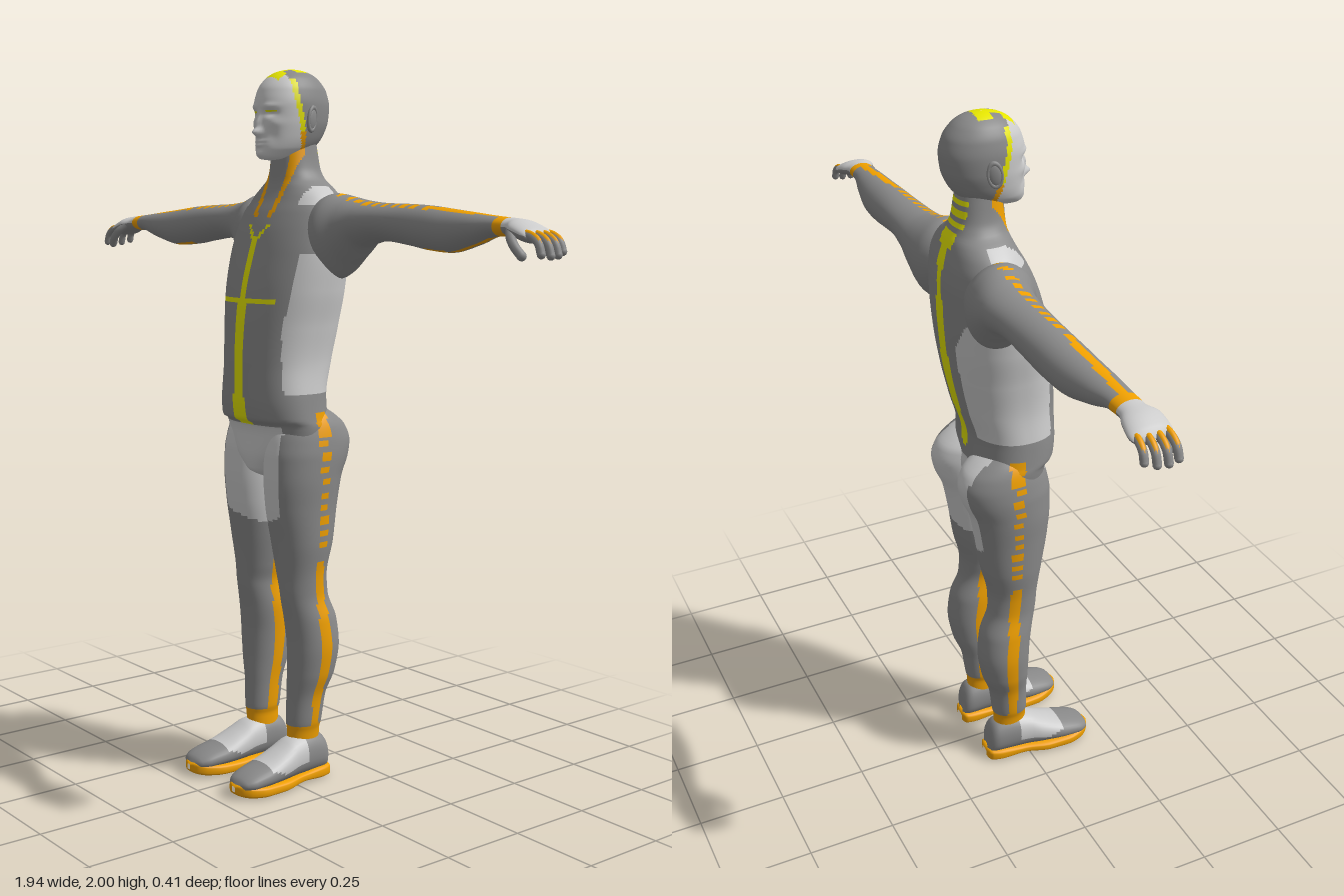
import * as THREE from 'three';

const mat = (color) => new THREE.MeshStandardMaterial({ color });
const MATS = { light: mat(0xcccccc), dark: mat(0x8a8a8a), orange: mat(0xf0a000), yellow: mat(0xe6e600) };
for (const k in MATS) MATS[k].name = k;

// Monotone smooth interpolation of key rows [t, a, b, c, d]
function sample(keys, t) {
  let i = 0;
  while (i < keys.length - 2 && t > keys[i + 1][0]) i++;
  const h = keys[i + 1][0] - keys[i][0], s = (t - keys[i][0]) / h;
  const d = (j, c) => (keys[j + 1][c] - keys[j][c]) / (keys[j + 1][0] - keys[j][0]);
  const slope = (j, c) => {
    if (j === 0) return d(0, c);
    if (j === keys.length - 1) return d(j - 1, c);
    const p = d(j - 1, c), q = d(j, c);
    return p * q <= 0 ? 0 : (2 * p * q) / (p + q);
  };
  return [1, 2, 3, 4].map((c) => {
    const a = keys[i][c], b = keys[i + 1][c], s2 = s * s, s3 = s2 * s;
    return a * (2 * s3 - 3 * s2 + 1) + b * (3 * s2 - 2 * s3)
      + h * ((s3 - 2 * s2 + s) * slope(i, c) + (s3 - s2) * slope(i + 1, c));
  });
}

// Loft of superellipse rings; keys are [t, uMin, uMax, vMin, vMax].
// paint() picks the colour of every cell; each colour becomes one mesh.
const AXES = { x: ['x', 'z', 'y'], y: ['y', 'x', 'z'], z: ['z', 'y', 'x'] };
function loft(name, { axis, keys, rows, cols, e = 2, side = 1, ease = false, warp, paint }) {
  const [T, U, V] = AXES[axis], pts = [], pos = [], all = [], faces = {};
  const t0 = keys[0][0], t1 = keys[keys.length - 1][0];
  const pw = (c) => Math.sign(c) * Math.abs(c) ** (2 / e);
  for (let i = 0; i <= rows; i++) {
    const f = i / rows, t = t0 + (t1 - t0) * (ease ? (1 - Math.cos(Math.PI * f)) / 2 : f);
    const [u0, u1, v0, v1] = sample(keys, t);
    for (let j = 0; j < cols; j++) {
      const a = (j / cols) * Math.PI * 2, p = new THREE.Vector3();
      p[T] = t;
      p[U] = (u0 + u1) / 2 + ((u1 - u0) / 2) * pw(Math.cos(a));
      p[V] = (v0 + v1) / 2 + ((v1 - v0) / 2) * pw(Math.sin(a));
      if (warp) warp(p);
      pts.push(p);
      pos.push(p.x * side, p.y, p.z);
    }
  }
  for (let i = 0; i < rows; i++) for (let j = 0; j < cols; j++) {
    const k = (j + 1) % cols, a = i * cols + j, b = a + cols, c = i * cols + k, d = c + cols;
    const quad = side > 0 ? [a, b, c, c, b, d] : [a, c, b, c, d, b];
    const mid = pts[a].clone().add(pts[d]).multiplyScalar(0.5);
    const color = paint(mid, ((j + 0.5) / cols) * Math.PI * 2);
    (faces[color] ??= []).push(...quad);
    for (const q of quad) all.push(q);
  }
  const base = new THREE.BufferGeometry();
  base.setAttribute('position', new THREE.Float32BufferAttribute(pos, 3));
  base.setIndex(all);
  base.computeVertexNormals();
  const group = new THREE.Group();
  group.name = name;
  for (const color in faces) {
    const g = new THREE.BufferGeometry();
    g.setAttribute('position', base.attributes.position);
    g.setAttribute('normal', base.attributes.normal);
    g.setIndex(faces[color]);
    const m = new THREE.Mesh(g, MATS[color]);
    m.name = `${name} ${color}`;
    group.add(m);
  }
  return group;
}

const sym = (rows) => rows.map(([t, w, f, b]) => [t, -w, w, b, f]);
const within = (v, a, b) => v > a && v < b;
const dash = (v) => Math.floor(v / 0.018) % 2 === 0;

// Torso and neck
const TORSO = sym([[0.86, 0.02, -0.02, -0.09], [0.9, 0.06, 0.062, -0.12], [0.95, 0.13, 0.072, -0.14],
  [1, 0.172, 0.07, -0.145], [1.03, 0.174, 0.075, -0.14], [1.045, 0.172, 0.098, -0.14], [1.1, 0.166, 0.105, -0.14],
  [1.2, 0.157, 0.105, -0.165], [1.3, 0.166, 0.1, -0.187], [1.4, 0.182, 0.086, -0.2], [1.5, 0.19, 0.06, -0.205],
  [1.56, 0.185, 0.04, -0.205], [1.61, 0.175, 0.017, -0.2], [1.65, 0.15, -0.005, -0.19], [1.68, 0.115, -0.018, -0.18],
  [1.7, 0.085, -0.023, -0.17], [1.73, 0.068, -0.025, -0.16], [1.78, 0.06, -0.028, -0.152], [1.83, 0.055, -0.04, -0.14]]);
function paintTorso({ x, y, z }) {
  const ax = Math.abs(x), front = z > -0.05;
  if (y < 1.03) return ax < 0.125 ? 'light' : 'dark';
  if (y < 1.07 && ax > 0.1 && within(z, -0.078, -0.035)) return 'orange';
  if (front) {
    if (y < 1.54 && ax < 0.011 + (1.54 - y) * 0.03) return 'yellow';
    if (within(y, 1.53, 1.58) && Math.abs(ax - (y - 1.53) * 0.9) < 0.007) return 'yellow';
    if (Math.abs(y - 1.37) < 0.005 && ax < 0.115) return 'yellow';
  } else if (z < -0.11) {
    if (within(y, 1.06, 1.66) && ax < 0.014 + 0.012 * Math.abs(Math.sin(y * 6))) return 'yellow';
    if (within(y, 1.66, 1.7) && ax < 0.036) return 'yellow';
    if (within(y, 1.7, 1.82) && (y - 1.7) % 0.028 > 0.014 && ax < 0.045) return 'yellow';
  }
  if (within(y, 1.6, 1.82) && z > -0.08 && Math.abs(ax - 0.035 - (y - 1.62) * 0.12) < 0.009) return 'orange';
  if (within(y, 1.63, 1.69) && within(ax, 0.11, 0.165) && z > -0.12) return 'light';
  if (within(y, 1.12, 1.5) && ax > 0.07 + Math.max(0, y - 1.4) * 0.6 && z < 0.055 - Math.max(0, y - 1.3) * 0.2) return 'light';
  return 'dark';
}

// Head with sculpted face
const HEAD = sym([[1.752, 0.002, 0.005, -0.01], [1.756, 0.026, 0.024, -0.04], [1.766, 0.043, 0.031, -0.09],
  [1.785, 0.061, 0.033, -0.14], [1.82, 0.075, 0.032, -0.172], [1.86, 0.083, 0.031, -0.188], [1.9, 0.085, 0.032, -0.192],
  [1.94, 0.079, 0.022, -0.182], [1.97, 0.064, 0.001, -0.16], [1.988, 0.043, -0.025, -0.135], [1.997, 0.02, -0.055, -0.105],
  [2, 0.001, -0.079, -0.081]]);
const FACE = [[0, 1.826, 0.012, 0.011, 0.023], [0, 1.852, 0.009, 0.02, 0.013], [0.034, 1.876, 0.016, 0.009, -0.011],
  [0.034, 1.896, 0.022, 0.007, 0.005], [0, 1.803, 0.019, 0.004, 0.006], [0, 1.792, 0.017, 0.005, 0.006],
  [0, 1.768, 0.018, 0.01, 0.006], [0.048, 1.85, 0.016, 0.012, 0.004], [0.04, 1.815, 0.014, 0.02, -0.004]];
function sculptFace(p) {
  if (p.z < -0.05) return;
  for (const [cx, cy, sx, sy, amp] of FACE) {
    p.z += amp * Math.exp(-(((Math.abs(p.x) - cx) / sx) ** 2) - ((p.y - cy) / sy) ** 2);
  }
}
function paintHead({ x, y, z }) {
  const ax = Math.abs(x);
  if (y > 1.96 && ((within(z, -0.105, -0.065) && ax < 0.04) || (within(z, -0.07, -0.03) && ax < 0.016)
    || (within(z, -0.035, -0.005) && ax < 0.036))) return 'yellow';
  if (z > 0 && within(ax, 0.019, 0.05) && Math.abs(y - 1.884) < 0.003) return 'yellow';
  const edge = -0.03 - Math.max(0, 1.92 - y) * 0.25;
  if (z > edge) return 'light';
  return z > edge - 0.016 && y < 1.97 ? (y > 1.83 ? 'yellow' : 'orange') : 'dark';
}

// Leg
const LEG = [[0.1, 0.06, 0.13, -0.1, 0], [0.15, 0.06, 0.135, -0.1, 0], [0.17, 0.054, 0.141, -0.104, 0.002],
  [0.25, 0.05, 0.15, -0.115, 0], [0.32, 0.045, 0.168, -0.14, 0], [0.4, 0.042, 0.176, -0.152, 0.002],
  [0.47, 0.04, 0.172, -0.145, 0.01], [0.55, 0.045, 0.16, -0.118, 0.025], [0.6, 0.035, 0.162, -0.115, 0.03],
  [0.7, 0.016, 0.175, -0.135, 0.045], [0.8, 0.006, 0.18, -0.15, 0.062], [0.88, 0.002, 0.185, -0.165, 0.068],
  [0.94, 0, 0.186, -0.19, 0.068], [0.98, 0, 0.183, -0.197, 0.062], [1.02, 0, 0.176, -0.183, 0.05],
  [1.05, 0.01, 0.165, -0.15, 0.03], [1.08, 0.04, 0.14, -0.1, -0.02]];
function paintLeg({ x, y, z }, a) {
  if (y < 0.165) return 'orange';
  const outer = Math.cos(a) > 0, mid = -0.058 - 0.016 * Math.exp(-(((y - 0.4) / 0.12) ** 2));
  const off = Math.abs(z - mid);
  if (outer && y < 0.65 && off < 0.014 + 0.006 * Math.exp(-(((y - 0.4) / 0.12) ** 2))) return 'orange';
  if (outer && within(y, 0.67, 0.99) && off < 0.016 && dash(y)) return 'orange';
  if (outer && y > 1 && off < 0.02) return 'orange';
  if (!outer && y < 0.72 && off < 0.018) return 'orange';
  return y > 0.73 + x * 0.4 && x < 0.125 ? 'light' : 'dark';
}

// Arm and palm
const ARM = [[0.1, -0.18, -0.02, 1.48, 1.63], [0.17, -0.205, -0.01, 1.43, 1.662], [0.22, -0.208, -0.035, 1.475, 1.652],
  [0.27, -0.205, -0.053, 1.52, 1.642], [0.35, -0.197, -0.062, 1.535, 1.635], [0.45, -0.192, -0.065, 1.525, 1.632],
  [0.52, -0.188, -0.063, 1.515, 1.628], [0.6, -0.18, -0.06, 1.51, 1.62], [0.7, -0.16, -0.062, 1.53, 1.61],
  [0.78, -0.142, -0.068, 1.553, 1.602], [0.83, -0.14, -0.068, 1.555, 1.598], [0.86, -0.15, -0.05, 1.548, 1.595],
  [0.9, -0.155, -0.047, 1.538, 1.58], [0.917, -0.148, -0.055, 1.54, 1.568], [0.922, -0.12, -0.09, 1.548, 1.556]];
function paintArm({ x, z }, a) {
  const top = Math.sin(a) > 0, off = Math.abs(z + 0.105);
  if (x > 0.82) return top ? 'light' : 'dark';
  if (x > 0.785) return 'orange';
  if (x > 0.52 && off < (top ? 0.013 : 0.008)) return 'orange';
  return top && within(x, 0.15, 0.5) && off < 0.014 && dash(x) ? 'orange' : 'dark';
}

// Shoe upper and sole
const UPPER = [[-0.127, 0.03, 0.05, 0.09, 0.11], [-0.12, 0.02, 0.1, 0.07, 0.135], [-0.1, 0.02, 0.128, 0.06, 0.146],
  [-0.05, 0.02, 0.138, 0.055, 0.15], [0, 0.02, 0.132, 0.05, 0.153], [0.04, 0.02, 0.112, 0.045, 0.158],
  [0.1, 0.02, 0.085, 0.04, 0.16], [0.16, 0.02, 0.068, 0.045, 0.155], [0.19, 0.025, 0.054, 0.06, 0.138], [0.2, 0.03, 0.04, 0.085, 0.11]];
const SOLE = [[-0.132, 0.008, 0.028, 0.085, 0.115], [-0.125, 0, 0.036, 0.065, 0.138], [-0.09, 0, 0.036, 0.056, 0.148],
  [-0.02, 0.006, 0.032, 0.052, 0.15], [0.06, 0, 0.032, 0.037, 0.164], [0.12, 0, 0.034, 0.035, 0.164],
  [0.17, 0.003, 0.038, 0.048, 0.15], [0.197, 0.01, 0.042, 0.068, 0.126], [0.206, 0.02, 0.036, 0.09, 0.105]];
const toeOut = (p) => { p.x += p.z * 0.06; };
const paintShoe = ({ y, z }) => (y > 0.05 && within(z, -0.03, 0.11) && y > 0.05 + Math.abs(z - 0.04) * 0.25 ? 'light' : 'dark');

function addMesh(group, name, geometry, color, position) {
  const m = new THREE.Mesh(geometry, MATS[color]);
  m.name = name;
  if (position) m.position.copy(position);
  group.add(m);
  return m;
}

// Curled finger with a round tip and a strip along the top
function finger(name, side, path, r, strip) {
  const g = new THREE.Group();
  g.name = name;
  const curve = (dy) => new THREE.CatmullRomCurve3(path.map(([x, y, z]) => new THREE.Vector3(x * side, y + dy, z)));
  addMesh(g, 'digit', new THREE.TubeGeometry(curve(0), 12, r, 10), 'dark');
  addMesh(g, 'fingertip', new THREE.SphereGeometry(r, 10, 8), 'dark', curve(0).getPoint(1));
  if (strip) addMesh(g, 'finger strip', new THREE.TubeGeometry(curve(r * 0.5), 12, r * 0.72, 8), 'orange');
  return g;
}

export function createModel() {
  const model = new THREE.Group();
  model.name = 'figure';
  model.add(loft('torso', { axis: 'y', keys: TORSO, rows: 150, cols: 144, e: 2.3, paint: paintTorso }));
  model.add(loft('head', { axis: 'y', keys: HEAD, rows: 88, cols: 112, e: 2.1, ease: true, warp: sculptFace, paint: paintHead }));
  for (const side of [1, -1]) {
    const s = side > 0 ? 'left' : 'right';
    model.add(loft(`${s} leg`, { axis: 'y', keys: LEG, rows: 120, cols: 56, side, e: 2.1, paint: paintLeg }));
    model.add(loft(`${s} arm`, { axis: 'x', keys: ARM, rows: 110, cols: 40, side, paint: paintArm }));
    model.add(loft(`${s} shoe`, { axis: 'z', keys: UPPER, rows: 36, cols: 32, side, e: 2.3, ease: true, warp: toeOut, paint: paintShoe }));
    model.add(loft(`${s} sole`, { axis: 'z', keys: SOLE, rows: 30, cols: 32, side, e: 4, ease: true, warp: toeOut, paint: () => 'orange' }));

    // Fingers and thumb
    [-0.064, -0.089, -0.114, -0.138].forEach((z, i) => {
      const l = [0.93, 1, 0.96, 0.8][i], spread = (z + 0.1) * 0.15;
      const path = [[0, 0.002], [0.03, -0.004], [0.053, -0.02], [0.064, -0.047]]
        .map(([dx, dy]) => [0.897 + dx * l, 1.558 + dy * l, z + spread * dx * 10]);
      model.add(finger(`${s} finger ${i + 1}`, side, path, 0.0105, true));
    });
    model.add(finger(`${s} thumb`, side,
      [[0.85, 1.57, -0.068], [0.87, 1.55, -0.05], [0.888, 1.53, -0.045], [0.905, 1.51, -0.05]], 0.012, false));

    // Ear: flat shell with a raised rim
    const ear = new THREE.Group();
    ear.name = `${s} ear`;
    addMesh(ear, 'ear shell', new THREE.SphereGeometry(1, 16, 12), 'dark').scale.set(0.007, 0.03, 0.018);
    const rim = addMesh(ear, 'ear rim', new THREE.TorusGeometry(0.022, 0.005, 8, 24), 'dark');
    rim.rotation.y = Math.PI / 2;
    rim.scale.set(0.8, 1.4, 1);
    ear.position.set(side * 0.087, 1.862, -0.083);
    ear.rotation.set(-0.15, side * 0.3, 0);
    model.add(ear);
  }
  return model;
}
